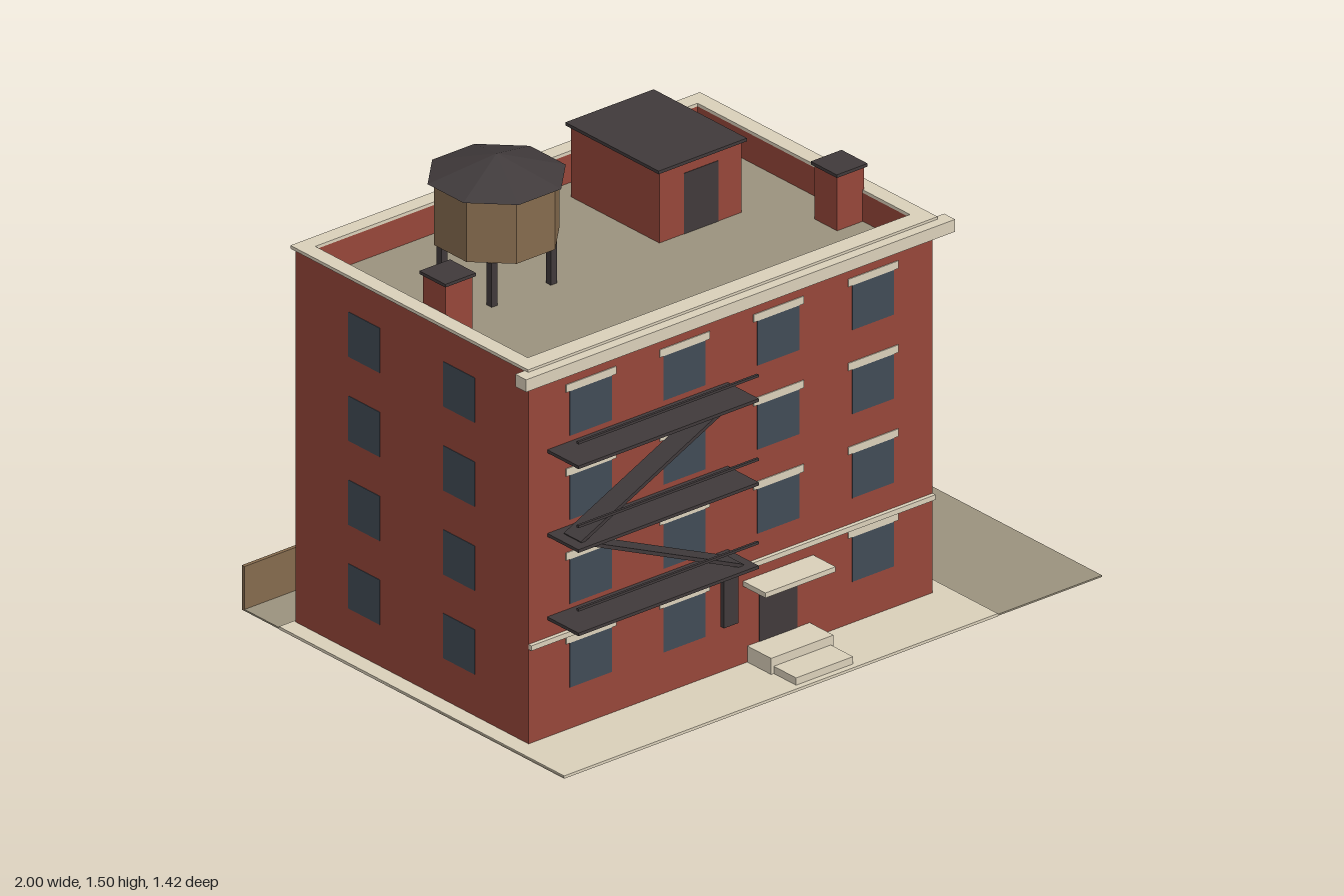
import * as THREE from 'three';

const mat = (name, color) => Object.assign(new THREE.MeshStandardMaterial({ color, flatShading: true }), { name });

export function createModel() {
  const brick = mat('brick', 0x96473a);
  const stone = mat('pale stone', 0xdad0ba);
  const gravel = mat('grey gravel', 0x9b927e);
  const dark = mat('dark metal', 0x403a3b);
  const glass = mat('window glass', 0x414b56);
  const wood = mat('weathered wood', 0x856b4e);

  const model = new THREE.Group();
  model.name = 'apartmentBuilding';

  const add = (name, geometry, material, x = 0, y = 0, z = 0) => {
    const mesh = new THREE.Mesh(geometry, material);
    mesh.name = name;
    mesh.position.set(x, y, z);
    model.add(mesh);
    return mesh;
  };
  // Box given by its limits on each axis
  const box = (name, material, x0, x1, y0, y1, z0, z1) =>
    add(name, new THREE.BoxGeometry(x1 - x0, y1 - y0, z1 - z0), material,
      (x0 + x1) / 2, (y0 + y1) / 2, (z0 + z1) / 2);
  // Rectangular ring lying flat: outer and inner limits are [x0, x1, z0, z1]
  const ring = (name, material, outer, inner, y0, y1) => {
    const corners = ([x0, x1, z0, z1]) =>
      [[x0, -z1], [x1, -z1], [x1, -z0], [x0, -z0]].map(([x, y]) => new THREE.Vector2(x, y));
    const shape = new THREE.Shape(corners(outer));
    shape.holes.push(new THREE.Path(corners(inner)));
    const geometry = new THREE.ExtrudeGeometry(shape, { depth: y1 - y0, bevelEnabled: false });
    geometry.rotateX(-Math.PI / 2);
    return add(name, geometry, material, 0, y0, 0);
  };

  // Plot, pavement (through the full slab) and back fence
  box('ground', gravel, -1, 1, 0.001, 0.006, -0.71, 0.706);
  box('pavement', stone, -1, 0.612, 0, 0.009, -0.547, 0.707);
  box('fence', wood, -1, 1, 0.002, 0.142, -0.71, -0.698);

  // Brick body, roof and parapet
  const [L, R, B, F] = [-0.945, 0.557, -0.54, 0.485];
  const opening = [-0.905, 0.516, -0.5, 0.434];
  box('walls', brick, L, R, 0.004, 1.095, B, F);
  box('roofDeck', gravel, L + 0.01, R - 0.01, 1.09, 1.1, B + 0.01, F - 0.01);
  ring('parapet', brick, [L, R, B, F], opening, 1.095, 1.19);
  ring('coping', stone, [-0.955, 0.567, -0.55, 0.495], opening, 1.19, 1.2);
  box('cornice', stone, -0.99, 0.604, 1.153, 1.192, 0.48, 0.528);
  box('beltCourse', stone, L, R, 0.308, 0.324, 0.48, 0.498);

  // Windows and lintels
  const rows = [0.211, 0.476, 0.742, 1.008];
  const columns = [-0.714, -0.366, -0.017, 0.335];
  rows.forEach((y, row) => {
    columns.forEach((x, col) => {
      if (row > 0 || col !== 2) {
        box('frontWindow', glass, x - 0.078, x + 0.078, y - 0.072, y + 0.072, F - 0.003, F + 0.0015);
        box('lintel', stone, x - 0.093, x + 0.093, y + 0.07, y + 0.094, F - 0.003, F + 0.003);
      }
      if (row > 0 || col !== 3) {
        box('backWindow', glass, x - 0.072, x + 0.072, y - 0.072, y + 0.072, B - 0.0015, B + 0.003);
      }
    });
    for (const z of [0.18, -0.237]) {
      for (const x of [L, R]) {
        box('sideWindow', glass, x - 0.0015, x + 0.0015, y - 0.071, y + 0.071, z - 0.069, z + 0.069);
      }
    }
  });

  // Doors, canopy and steps
  box('frontDoor', dark, -0.088, 0.053, 0.058, 0.244, F - 0.003, F + 0.0015);
  box('backDoor', dark, 0.352, 0.487, 0.009, 0.2, B - 0.0015, B + 0.003);
  box('doorCanopy', stone, -0.148, 0.113, 0.254, 0.27, 0.48, 0.584);
  box('upperStep', stone, -0.132, 0.1, 0.004, 0.06, 0.48, 0.59);
  box('lowerStep', stone, -0.122, 0.09, 0.004, 0.032, 0.58, 0.688);

  // Fire escape: platforms, rails, sloping flights and drop ladder
  for (const y of [0.384, 0.648, 0.913]) {
    box('fireEscapePlatform', dark, -0.875, -0.205, y - 0.005, y + 0.005, F, 0.622);
    box('fireEscapeRail', dark, -0.875, -0.205, y + 0.073, y + 0.081, 0.614, 0.622);
  }
  const flight = (x0, y0, x1, y1) => {
    const length = Math.hypot(x1 - x0, y1 - y0);
    const mesh = add('fireEscapeFlight', new THREE.BoxGeometry(length, 0.011, 0.075), dark,
      (x0 + x1) / 2, (y0 + y1) / 2, 0.556);
    mesh.rotation.z = Math.atan2(y1 - y0, x1 - x0);
  };
  flight(-0.84, 0.652, -0.285, 0.913);
  flight(-0.84, 0.652, -0.238, 0.387);
  box('dropLadder', dark, -0.288, -0.233, 0.196, 0.384, 0.552, 0.567);

  // Stair bulkhead
  box('bulkhead', brick, -0.015, 0.291, 1.098, 1.325, -0.428, -0.04);
  box('bulkheadRoof', dark, -0.026, 0.302, 1.325, 1.335, -0.44, -0.03);
  box('bulkheadDoor', dark, 0.076, 0.203, 1.1, 1.292, -0.043, -0.0385);

  // Chimneys
  for (const [x, z, top] of [[-0.853, 0.021, 1.299], [0.471, 0.176, 1.282]]) {
    box('chimney', brick, x - 0.05, x + 0.05, 1.098, top - 0.01, z - 0.05, z + 0.05);
    box('chimneyCap', dark, x - 0.057, x + 0.057, top - 0.01, top, z - 0.057, z + 0.057);
  }

  // Water tank: eight sides with flats facing the axes
  const [tx, tz] = [-0.524, -0.153];
  const tank = new THREE.CylinderGeometry(0.187, 0.187, 0.195, 8).rotateY(Math.PI / 8);
  add('tankBarrel', tank, wood, tx, 1.3395, tz);
  const cone = new THREE.ConeGeometry(0.206, 0.067, 8).rotateY(Math.PI / 8);
  add('tankRoof', cone, dark, tx, 1.4705, tz);
  for (const dx of [-0.11, 0.11]) {
    for (const dz of [-0.11, 0.11]) {
      box('tankLeg', dark, tx + dx - 0.011, tx + dx + 0.011, 1.098, 1.25, tz + dz - 0.011, tz + dz + 0.011);
    }
  }

  // Bins along the back
  for (const x of [-0.61, -0.507, -0.402]) {
    add('bin', new THREE.CylinderGeometry(0.041, 0.041, 0.076, 6), gravel, x, 0.042, -0.612);
  }

  return model;
}
